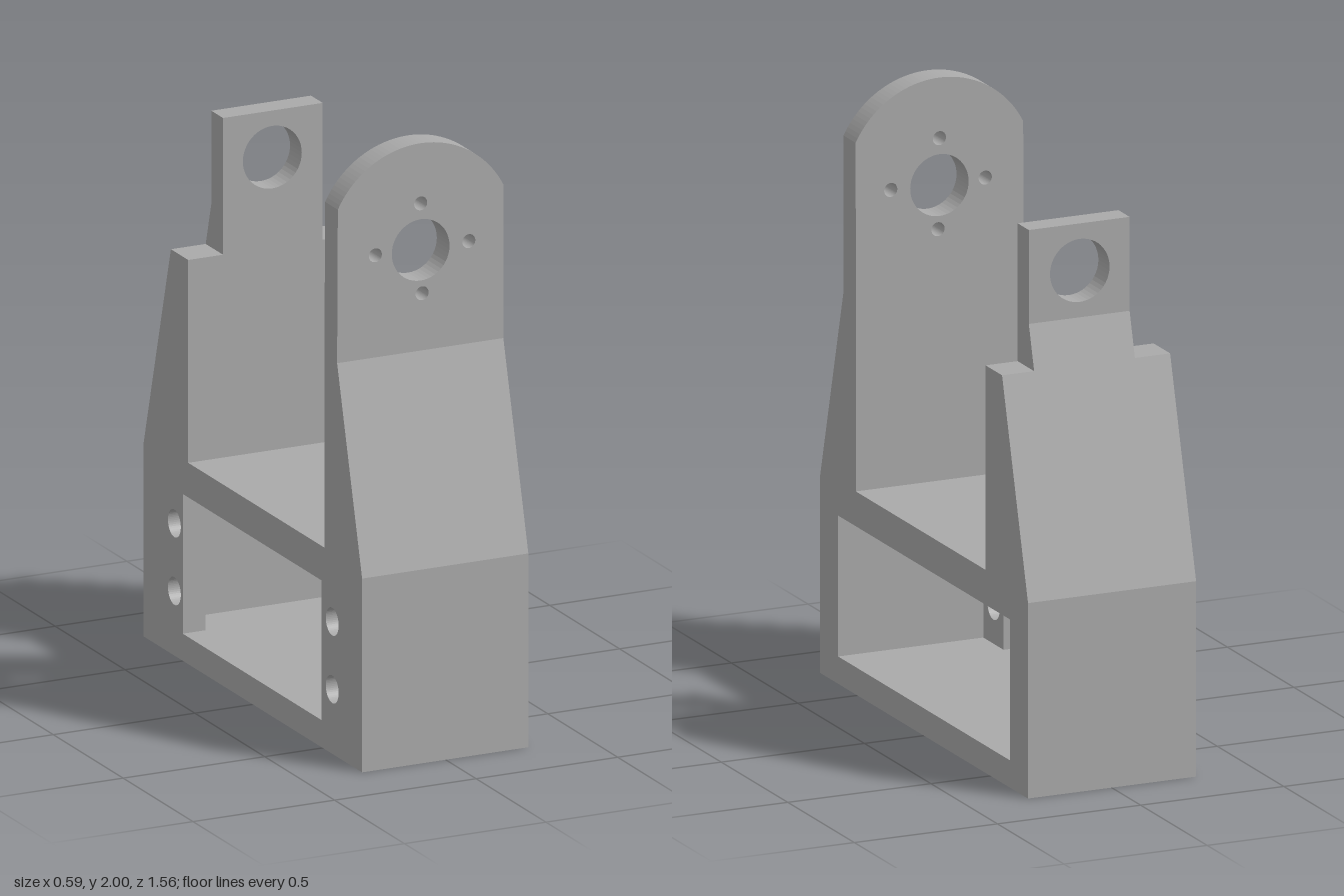
import * as THREE from 'three';

const RIGHT = -0.295, LEFT = 0.292;

function polygon(points) {
  return new THREE.Shape(points.map(([a, b]) => new THREE.Vector2(a, b)));
}

function addRound(shape, x, y, r) {
  const hole = new THREE.Path();
  hole.absarc(x, y, r, 0, Math.PI * 2, true);
  shape.holes.push(hole);
}

function addWindow(shape, a0, a1, b0, b1) {
  shape.holes.push(new THREE.Path([[a0, b0], [a0, b1], [a1, b1], [a1, b0]]
    .map(([a, b]) => new THREE.Vector2(a, b))));
}

export function createModel() {
  const model = new THREE.Group();
  model.name = 'servoBracket';
  const grey = new THREE.MeshStandardMaterial({ color: 0xaaaaaa });
  grey.name = 'grey plastic';

  const extrude = (name, shape, depth) => {
    const geometry = new THREE.ExtrudeGeometry(shape, { depth, bevelEnabled: false, curveSegments: 24 });
    const mesh = new THREE.Mesh(geometry, grey);
    mesh.name = name;
    model.add(mesh);
    return mesh;
  };
  // Side profiles use (-z, y) and run along x; upright plates use (x, y) and run along z
  const across = (name, shape, x0, x1) => {
    const mesh = extrude(name, shape, x1 - x0);
    mesh.rotation.y = Math.PI / 2;
    mesh.position.x = x0;
  };
  const upright = (name, shape, z0, z1) => {
    extrude(name, shape, z1 - z0).position.z = z0;
  };

  // Frame with both wedge-shaped arm roots
  const frameProfile = () => polygon([
    [-0.782, 0], [0.782, 0], [0.782, 0.645], [0.587, 1.345], [0.463, 1.345],
    [0.463, 0.67], [-0.512, 0.67], [-0.512, 1.31], [-0.603, 1.31], [-0.782, 0.645],
  ]);

  // Open part of the frame, with the wide pocket
  const FLANGE = RIGHT + 0.08;
  const open = frameProfile();
  addWindow(open, -0.645, 0.645, 0.09, 0.555);
  across('frame', open, FLANGE, LEFT);

  // Mounting flanges around a narrower window, with screw holes
  const flange = frameProfile();
  addWindow(flange, -0.492, 0.502, 0.09, 0.555);
  for (const a of [-0.568, 0.562]) {
    for (const y of [0.215, 0.44]) addRound(flange, a, y, 0.046);
  }
  across('mountingFlange', flange, RIGHT, FLANGE);

  // Front arm: round-topped plate with a shaft hole and four screw holes
  const cy = 1.672, r = 0.328;
  const angle = Math.acos(0.2925 / r);
  const plate = new THREE.Shape();
  plate.moveTo(RIGHT, 1.31);
  plate.lineTo(LEFT, 1.31);
  plate.absarc(0, cy, r, angle, Math.PI - angle, false);
  plate.closePath();
  addRound(plate, 0, 1.645, 0.102);
  for (const [x, y] of [[0, 1.8], [-0.16, 1.65], [0.17, 1.65], [0.005, 1.5]]) {
    addRound(plate, x, y, 0.023);
  }
  upright('frontPlate', plate, 0.512, 0.603);

  // Back arm: narrow neck that tapers into a pierced tab
  const neck = polygon([[0.463, 1.345], [0.587, 1.345], [0.547, 1.49], [0.463, 1.49]]);
  across('backNeck', neck, -0.172, 0.18);
  const tab = polygon([[-0.172, 1.49], [0.18, 1.49], [0.18, 1.8], [-0.172, 1.8]]);
  addRound(tab, 0.002, 1.645, 0.104);
  upright('backTab', tab, -0.547, -0.463);

  return model;
}
